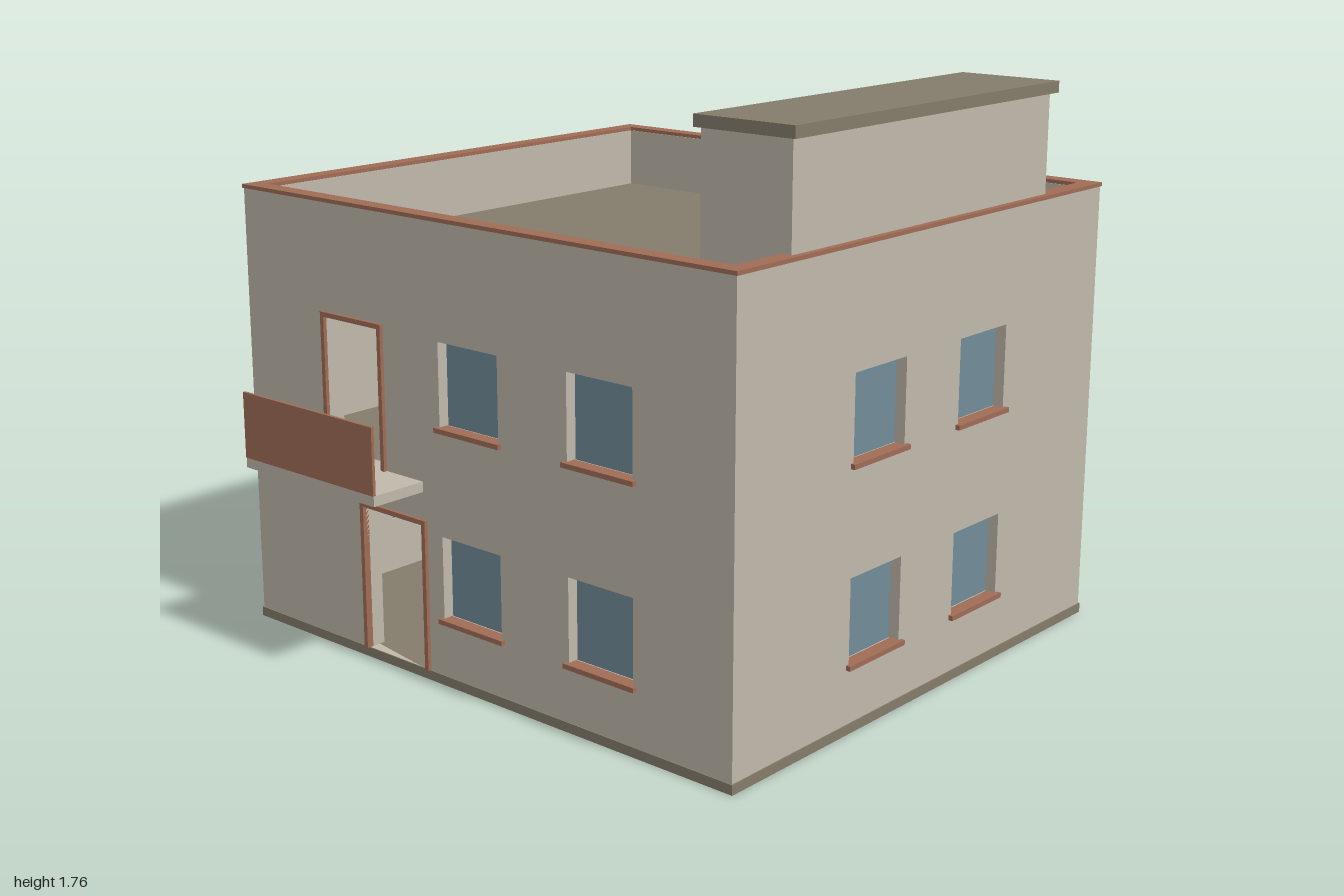
import * as THREE from 'three';

const mat = (name, color) => {
  const m = new THREE.MeshStandardMaterial({ color });
  m.name = name;
  return m;
};

export function createModel() {
  const plaster = mat('plaster', 0xc0b8aa);
  const terracotta = mat('terracotta', 0xa06c56);
  const concrete = mat('concrete', 0x847c6b);
  const glass = mat('glass', 0x728b98);

  const house = new THREE.Group();
  house.name = 'house';

  // outer limits of the walls and their thickness
  const X = 0.983, ZF = 0.8, ZB = -0.978, T = 0.055;
  const ZC = (ZF + ZB) / 2, DEPTH = ZF - ZB;

  const add = (name, geometry, material, parent = house) => {
    const m = new THREE.Mesh(geometry, material);
    m.name = name;
    parent.add(m);
    return m;
  };
  // box given by its limits
  const box = (name, material, x0, x1, y0, y1, z0, z1, parent) => {
    const m = add(name, new THREE.BoxGeometry(x1 - x0, y1 - y0, z1 - z0), material, parent);
    m.position.set((x0 + x1) / 2, (y0 + y1) / 2, (z0 + z1) / 2);
    return m;
  };
  const rect = (Type, x0, x1, y0, y1) => new Type([
    [x0, y0], [x1, y0], [x1, y1], [x0, y1],
  ].map(([x, y]) => new THREE.Vector2(x, y)));

  // One facade, built facing +z with its outer face on z = 0, then turned into place.
  // windows: [centre, sill height]; doors: [x0, x1, y0, y1]
  function facade(name, halfWidth, windows, doors) {
    const g = new THREE.Group();
    g.name = name;
    house.add(g);
    const shape = rect(THREE.Shape, -halfWidth, halfWidth, 0.03, 1.406);
    const hw = 0.121, h = 0.256;
    for (const [c, y] of windows) {
      shape.holes.push(rect(THREE.Path, c - hw, c + hw, y, y + h));
      box('windowPane', glass, c - hw, c + hw, y, y + h, -0.045, -0.035, g);
      box('windowSill', terracotta, c - 0.133, c + 0.133, y - 0.014, y + 0.001, -0.03, 0.014, g);
    }
    for (const [x0, x1, y0, y1] of doors) {
      shape.holes.push(rect(THREE.Path, x0, x1, y0, y1));
      const w = 0.015;
      box('doorFrameSide', terracotta, x0 - w, x0, y0, y1, -0.01, 0.012, g);
      box('doorFrameSide', terracotta, x1, x1 + w, y0, y1, -0.01, 0.012, g);
      box('doorFrameTop', terracotta, x0 - w, x1 + w, y1, y1 + w, -0.01, 0.012, g);
    }
    const wall = add('wall', new THREE.ExtrudeGeometry(shape, { depth: T, bevelEnabled: false }), plaster, g);
    wall.position.z = -T;
    return g;
  }

  const LOW = 0.21, HIGH = 0.8;
  const both = (list) => list.flatMap((c) => [[c, LOW], [c, HIGH]]);

  const front = facade('frontFacade', X, both([0, 0.51]),
    [[-0.46, -0.2, 0.03, 0.488], [-0.612, -0.372, 0.62, 1.056]]);
  front.position.z = ZF;

  const back = facade('backFacade', X, [...both([0, -0.51]), [0.51, HIGH]],
    [[0.2, 0.46, 0.03, 0.488]]);
  back.rotation.y = Math.PI;
  back.position.z = ZB;

  // side facades fit between front and back; windows are mirrored
  const sideWindows = [0.167, -0.345].map((z) => z - ZC);
  for (const s of [1, -1]) {
    const side = facade(s > 0 ? 'leftFacade' : 'rightFacade', DEPTH / 2 - T,
      both(sideWindows.map((z) => -s * z)), []);
    side.rotation.y = s * Math.PI / 2;
    side.position.set(s * X, 0, ZC);
  }

  // base, floor and roof slabs
  box('baseSlab', concrete, -X - 0.004, X + 0.004, 0, 0.03, ZB - 0.004, ZF + 0.004);
  box('upperFloor', concrete, -X + T, X - T, 0.585, 0.618, ZB + T, ZF - T);
  box('roofDeck', concrete, -X + T, X - T, 1.17, 1.21, ZB + T, ZF - T);

  // parapet coping ring
  const e = 0.004, i = T - 0.003;
  const ring = rect(THREE.Shape, -X - e, X + e, -DEPTH / 2 - e, DEPTH / 2 + e);
  ring.holes.push(rect(THREE.Path, -X + i, X - i, -DEPTH / 2 + i, DEPTH / 2 - i));
  const coping = add('parapetCoping', new THREE.ExtrudeGeometry(ring, { depth: 0.012, bevelEnabled: false }), terracotta);
  coping.rotation.x = -Math.PI / 2;
  coping.position.set(0, 1.406, ZC);

  // balcony above the front door
  box('balconySlab', plaster, -0.785, -0.2, 0.588, 0.62, ZF, 0.99);
  box('balconyPanel', terracotta, -0.785, -0.2, 0.62, 0.827, 0.982, 0.992);

  // rooftop stair house, open at the back
  const stair = new THREE.Group();
  stair.name = 'stairHouse';
  house.add(stair);
  const w = 0.022, y0 = 1.21, y1 = 1.722, za = -0.68, zb = 0.56;
  box('stairWallInner', plaster, 0.66, 0.66 + w, y0, y1, za, zb, stair);
  box('stairWallOuter', plaster, 0.967 - w, 0.967, y0, y1, za, zb, stair);
  box('stairWallFront', plaster, 0.66 + w, 0.967 - w, y0, y1, zb - w, zb, stair);
  box('stairLintel', plaster, 0.66 + w, 0.967 - w, y1 - 0.04, y1, za, za + w, stair);
  box('stairRoof', concrete, 0.645, 0.985, y1, 1.757, -0.7, 0.575, stair);

  return house;
}
